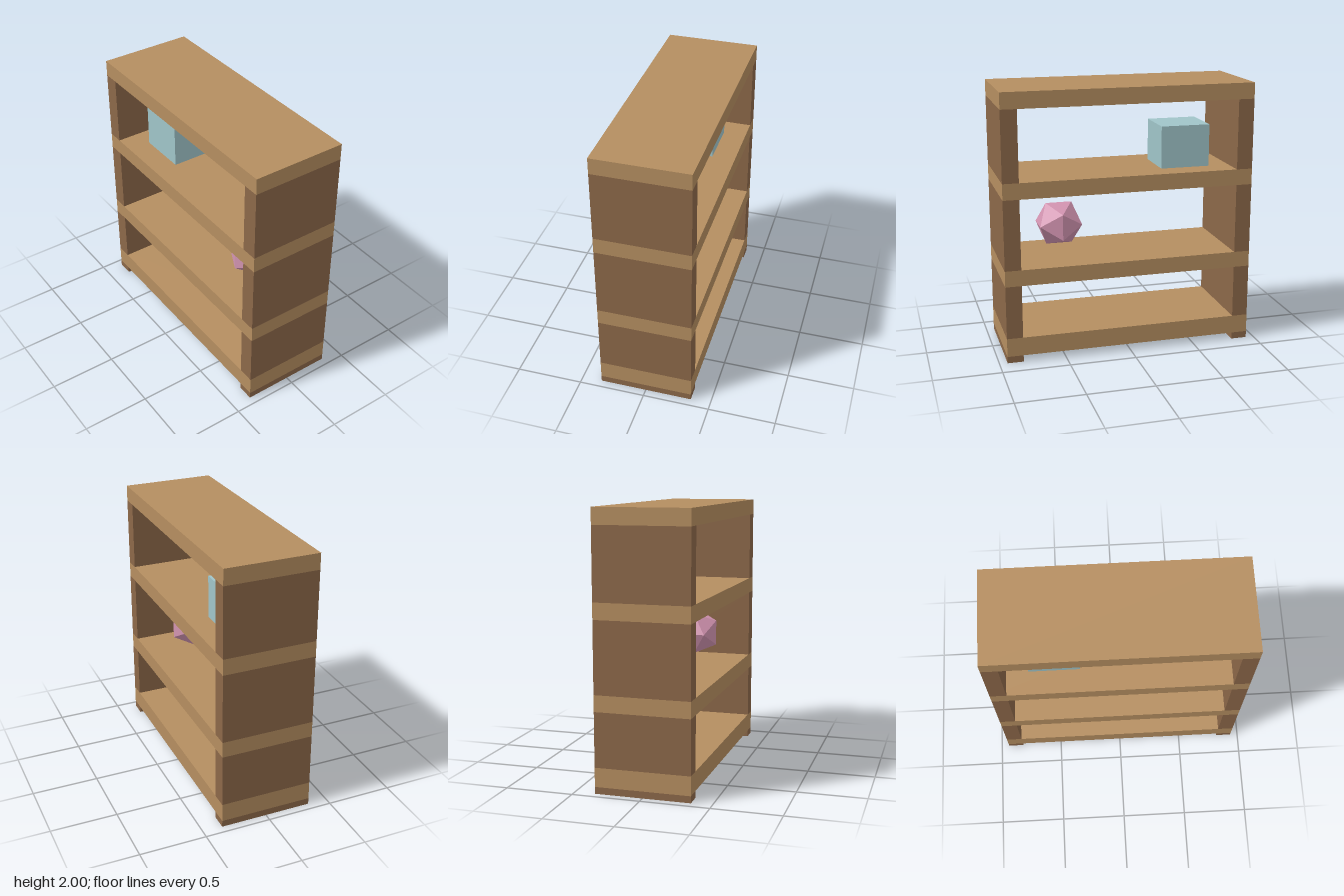
import * as THREE from 'three';

const WIDTH = 1.88, DEPTH = 0.7, PANEL = 0.12;

function material(name, color) {
  const m = new THREE.MeshStandardMaterial({ color });
  m.name = name;
  return m;
}

export function createModel() {
  const group = new THREE.Group();
  group.name = 'bookshelf';
  const lightWood = material('lightWood', 0xb58e60);
  const darkWood = material('darkWood', 0x8c6849);
  const paleBlue = material('paleBlue', 0xa0c5c9);
  const pink = material('pink', 0xd495b2);

  // Box spanning from bottom to top in y, centred on x and z = 0
  function box(name, mat, x, bottom, top, width, depth) {
    const mesh = new THREE.Mesh(new THREE.BoxGeometry(width, top - bottom, depth), mat);
    mesh.name = name;
    mesh.position.set(x, (bottom + top) / 2, 0);
    group.add(mesh);
  }

  // Full-width boards, with the side panels filling the gaps beneath each
  const boards = [[0.05, 0.19], [0.59, 0.71], [1.235, 1.355], [1.88, 2]];
  let below = 0;
  boards.forEach(([bottom, top], i) => {
    box('shelf' + (i + 1), lightWood, 0, bottom, top, WIDTH, DEPTH);
    for (const side of [-1, 1]) {
      const name = (side > 0 ? 'left' : 'right') + (i === 0 ? 'Foot' : 'SidePanel' + i);
      box(name, darkWood, side * (WIDTH - PANEL) / 2, below, bottom, PANEL, DEPTH);
    }
    below = top;
  });

  // Storage box resting on the upper shelf
  box('storageBox', paleBlue, -0.472, 1.355, 1.673, 0.375, 0.35);

  // Faceted ornament above the middle shelf
  const ornament = new THREE.Mesh(new THREE.IcosahedronGeometry(0.187, 0), pink);
  ornament.name = 'facetedOrnament';
  ornament.position.set(0.468, 0.945, 0);
  group.add(ornament);

  return group;
}
